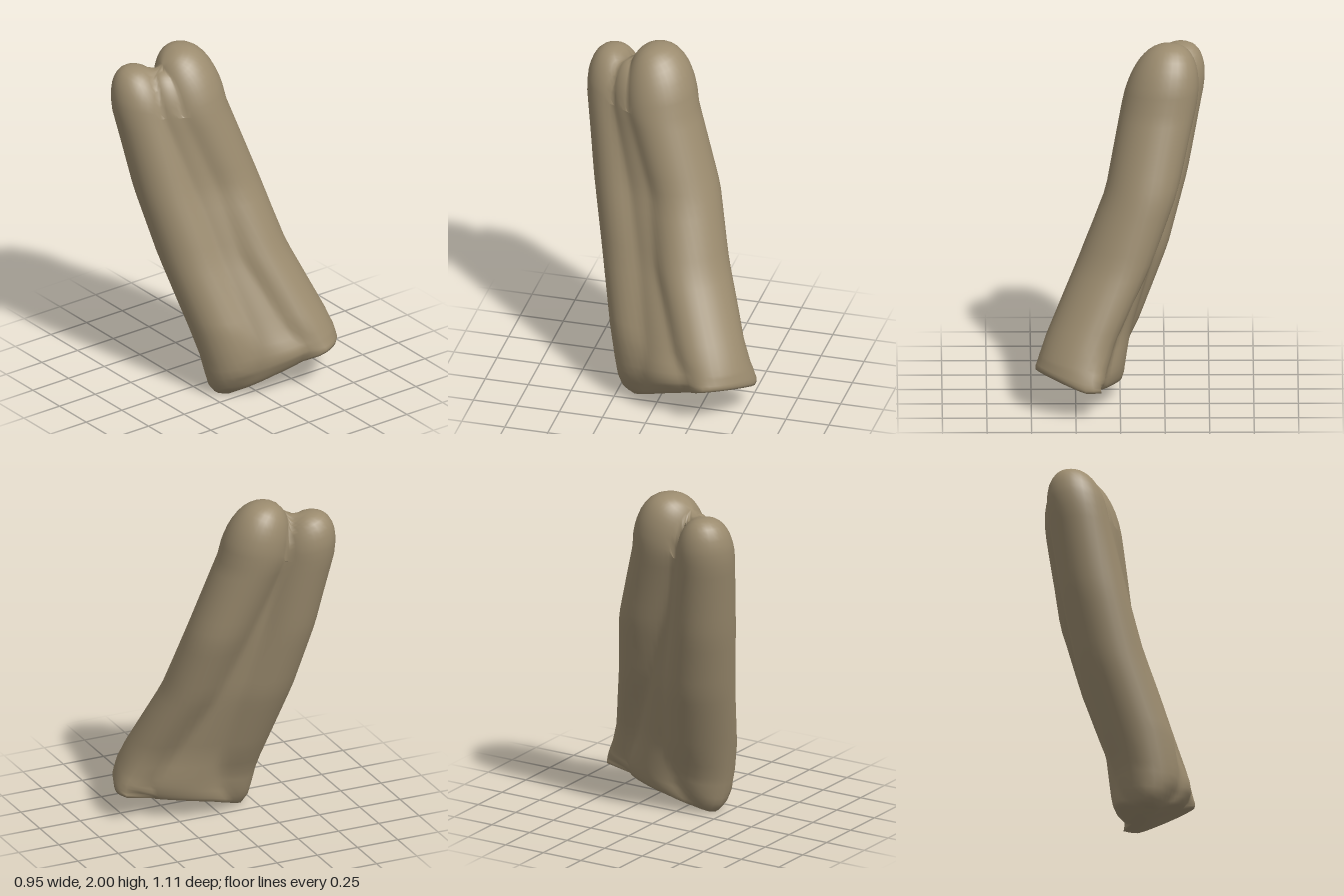
import * as THREE from 'three';
import { mergeVertices } from 'three/addons/utils/BufferGeometryUtils.js';

// Sections: y, front lobe (x, z, rx, rz), back lobe (x, z, r across, r along),
// web (half thickness, x shift, half length as a share of the lobe distance)
const SECTIONS = [
  [0.00, 0.13, 0.10, 0.07, 0.09, 0.285, -0.40, 0.11, 0.22, 0.19, -0.015, 0.56],
  [0.05, 0.14, 0.09, 0.12, 0.14, 0.285, -0.395, 0.12, 0.22, 0.21, -0.015, 0.60],
  [0.12, 0.15, 0.08, 0.16, 0.17, 0.275, -0.38, 0.13, 0.215, 0.225, -0.01, 0.62],
  [0.22, 0.14, 0.085, 0.175, 0.185, 0.26, -0.35, 0.15, 0.21, 0.225, -0.01, 0.62],
  [0.40, 0.09, 0.11, 0.20, 0.20, 0.225, -0.30, 0.17, 0.21, 0.205, -0.01, 0.58],
  [0.80, -0.07, 0.20, 0.20, 0.20, 0.035, -0.15, 0.18, 0.22, 0.175, 0.005, 0.54],
  [1.20, -0.19, 0.30, 0.19, 0.18, -0.12, -0.06, 0.185, 0.21, 0.15, 0.03, 0.50],
  [1.66, -0.30, 0.385, 0.17, 0.165, -0.22, 0.10, 0.20, 0.215, 0.14, 0.045, 0.50],
];
const TOP = 1.66;
const SEGMENTS = 56;

function sectionAt(y) {
  let i = 0;
  while (i < SECTIONS.length - 2 && y > SECTIONS[i + 1][0]) i++;
  const a = SECTIONS[i], b = SECTIONS[i + 1];
  const t = (y - a[0]) / (b[0] - a[0]);
  return a.map((v, k) => THREE.MathUtils.lerp(v, b[k], t));
}

// The three overlapping ellipses of a section: front lobe, back lobe and the web joining them
function ellipsesAt(y) {
  const [, ax, az, arx, arz, bx, bz, bn, bt, w, shift, share] = sectionAt(y);
  const dx = bx - ax, dz = bz - az, d = Math.hypot(dx, dz);
  return [
    { x: ax, z: az, c: 1, s: 0, u: arx, v: arz, height: 0.26 },
    { x: bx, z: bz, c: 0.57, s: -0.82, u: bn, v: bt, height: 0.34 },
    { x: (ax + bx) / 2 + shift, z: (az + bz) / 2, c: dx / d, s: dz / d, u: d * share, v: w, height: 0.24 },
  ];
}

function ellipseRadius(e, x, z) {
  const dx = x - e.x, dz = z - e.z;
  return Math.hypot((dx * e.c + dz * e.s) / e.u, (dz * e.c - dx * e.s) / e.v);
}

// Smoothly blended outline, searched outward from the web's centre
function outlineAt(y) {
  const ellipses = ellipsesAt(y);
  const { x: cx, z: cz } = ellipses[2];
  const points = [];
  for (let i = 0; i < SEGMENTS; i++) {
    const a = (i / SEGMENTS) * Math.PI * 2, dx = Math.cos(a), dz = Math.sin(a);
    let low = 0, high = 1;
    for (let n = 0; n < 22; n++) {
      const r = (low + high) / 2;
      let sum = 0;
      for (const e of ellipses) sum += Math.exp(-14 * (ellipseRadius(e, cx + dx * r, cz + dz * r) - 1));
      if (sum > 1) low = r; else high = r;
    }
    points.push([cx + dx * low, cz + dz * low]);
  }
  return { ellipses, cx, cz, points };
}

// Slanting underside, fading out up the body
function slant(x, y, z) {
  const back = Math.max(0, 0.15 - z);
  const base = 0.28 * Math.min(back, 0.2) + 0.21 * Math.max(0, back - 0.2)
    + 0.42 * Math.max(0, x - 0.2) + 0.3 * Math.max(0, 0.1 - x);
  return y + base * Math.max(0, 1 - y / 0.4);
}

function buildBody() {
  const rows = [];
  const scaled = (o, f, place) => rows.push(o.points.map(([px, pz]) =>
    place(o.cx + (px - o.cx) * f, o.cz + (pz - o.cz) * f)));

  // Underside, from its centre outward
  const bottom = outlineAt(0);
  for (const f of [0, 0.3, 0.6, 0.85]) scaled(bottom, f, (x, z) => [x, slant(x, 0, z), z]);

  // Walls
  const levels = [0, 0.025, 0.05, 0.085, 0.12, 0.17, 0.22, 0.3];
  for (let i = 0; i <= 18; i++) levels.push(0.4 + (TOP - 0.4) * i / 18);
  for (const y of levels) scaled(outlineAt(y), 1, (x, z) => [x, slant(x, y, z), z]);

  // Two rounded tips with a shallow valley between
  const top = outlineAt(TOP);
  for (const f of [0.985, 0.96, 0.92, 0.87, 0.8, 0.72, 0.63, 0.53, 0.42, 0.3, 0.15, 0]) {
    scaled(top, f, (x, z) => {
      let h = 0;
      for (const e of top.ellipses) {
        const r = Math.min(1, ellipseRadius(e, x, z));
        h = Math.max(h, e.height * Math.sqrt(1 - r ** 2.5));
      }
      return [x - 0.18 * h, TOP + h, z + 0.1 * h];
    });
  }

  const index = [];
  for (let j = 0; j < rows.length - 1; j++) {
    for (let i = 0; i < SEGMENTS; i++) {
      const k = (i + 1) % SEGMENTS;
      const a = j * SEGMENTS + i, b = j * SEGMENTS + k;
      const c = a + SEGMENTS, d = b + SEGMENTS;
      if (j < rows.length - 2) index.push(a, c, d);
      else index.push(a, c, b);
      if (j > 0 && j < rows.length - 2) index.push(a, d, b);
    }
  }
  const geometry = new THREE.BufferGeometry();
  geometry.setAttribute('position', new THREE.Float32BufferAttribute(rows.flat(2), 3));
  geometry.setIndex(index);
  const merged = mergeVertices(geometry, 1e-5);
  merged.computeVertexNormals();
  return merged;
}

export function createModel() {
  const group = new THREE.Group();
  group.name = 'twinLobedRock';
  const stone = new THREE.MeshStandardMaterial({ color: 0x9c8c6f });
  stone.name = 'brownStone';
  const body = new THREE.Mesh(buildBody(), stone);
  body.name = 'rockBody';
  group.add(body);
  return group;
}
